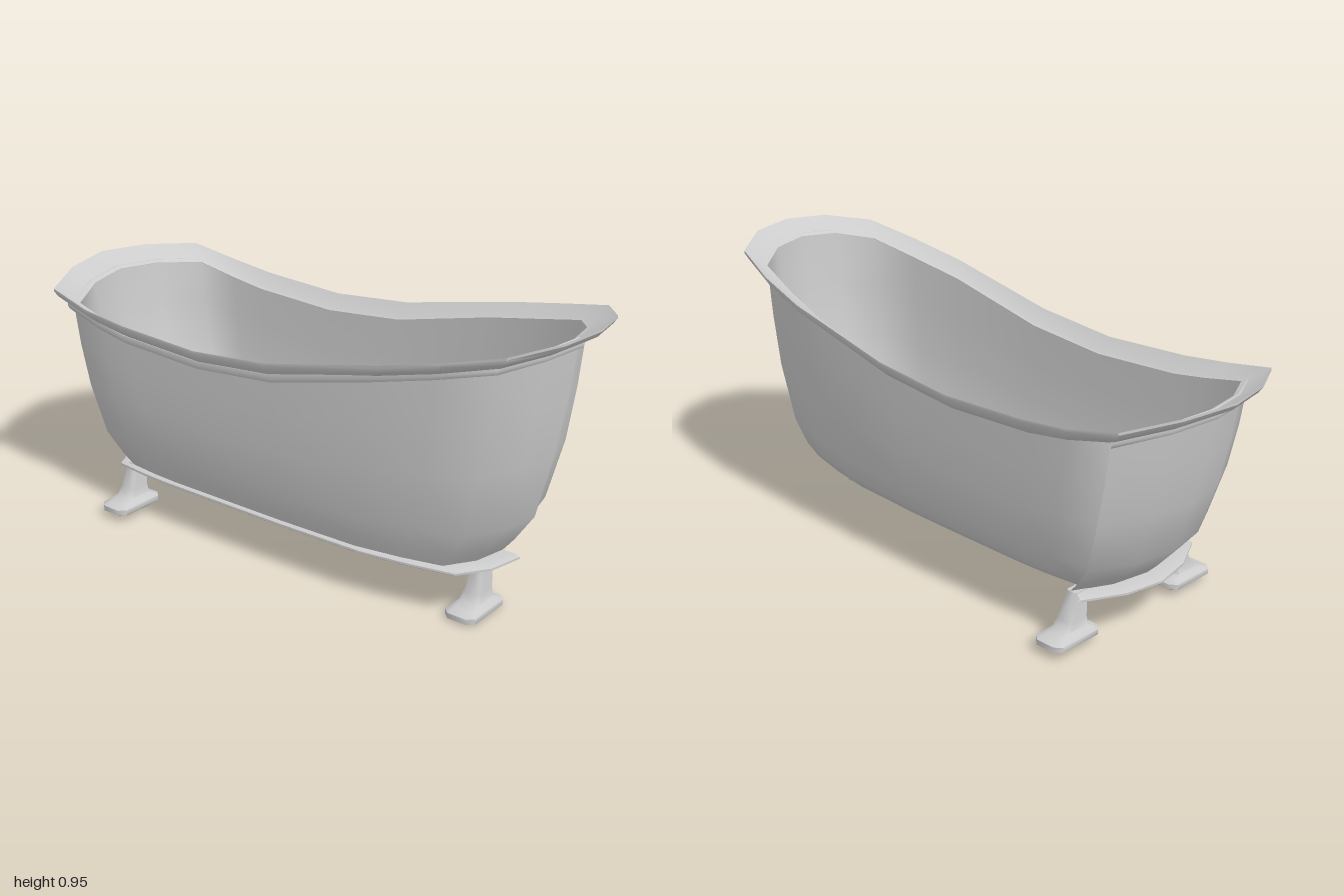
import * as THREE from 'three';
import { toCreasedNormals } from 'three/addons/utils/BufferGeometryUtils.js';

const grey = new THREE.MeshStandardMaterial({ color: 0xcccccc, side: THREE.DoubleSide });

// Half outlines [x, z] from the middle of the front end to the middle of the back end
const LIP = [[0, .99], [.15, .96], [.285, .86], [.335, .68], [.365, .48], [.37, .07],
  [.37, -.22], [.37, -.53], [.37, -.7], [.35, -.87], [.18, -.96], [0, -1]];
const WALL = [[0, .905], [.13, .875], [.24, .795], [.28, .62], [.31, .43], [.32, .07],
  [.32, -.22], [.32, -.53], [.315, -.65], [.3, -.8], [.15, -.88], [0, -.91]];
// Rim height along z
const RIM = [[1, .953], [.7, .878], [.4, .812], [.07, .742], [-.22, .715], [-.53, .73], [-.7, .75], [-1, .81]];
const BASE = .168;

// Full loop: along the -x side to the back, then along the +x side to the front
const fullLoop = half => [
  ...half.map(([x, z]) => [-x, z]),
  ...half.slice(1, -1).reverse(),
];
const lipLoop = fullLoop(LIP);
const wallLoop = fullLoop(WALL);
const PART = 14; // points of the loop covered by the outer casing

function rimHeight(z) {
  for (let i = 1; i < RIM.length; i++) {
    const [z0, y0] = RIM[i - 1], [z1, y1] = RIM[i];
    if (z >= z1) return y0 + (y1 - y0) * (z0 - z) / (z0 - z1);
  }
  return RIM[RIM.length - 1][1];
}

// Skin over a list of rings, each a list of [x, y, z]
function loft(rings, closed, crease = 1) {
  const n = rings[0].length, index = [];
  for (let r = 0; r < rings.length - 1; r++) {
    for (let i = 0; i < (closed ? n : n - 1); i++) {
      const a = r * n + i, b = r * n + (i + 1) % n;
      index.push(a, a + n, b, b, a + n, b + n);
    }
  }
  const g = new THREE.BufferGeometry();
  g.setAttribute('position', new THREE.Float32BufferAttribute(rings.flat(2), 3));
  g.setIndex(index);
  return toCreasedNormals(g, crease);
}

function add(parent, name, geometry, x = 0, y = 0, z = 0) {
  const mesh = new THREE.Mesh(geometry, grey);
  mesh.name = name;
  mesh.position.set(x, y, z);
  parent.add(mesh);
  return mesh;
}

// Ring of the wall at height fraction v, scaled in x and z, dropped by dy
const wallRing = (v, sx, sz, dy = 0) => wallLoop.map(([x, z], i) => {
  const top = rimHeight(lipLoop[i][1]) - .05;
  return [x * sx, BASE + (top - BASE) * v + dy, z * sz];
});

function createLeg(name) {
  // [y, centre x, half width, half depth]
  const sections = [[.02, .27, .001, .001], [.02, .27, .088, .048], [.026, .27, .097, .055],
    [.044, .27, .097, .055], [.054, .267, .076, .043], [.064, .257, .05, .035],
    [.09, .25, .04, .03], [.175, .229, .028, .02], [.175, .229, .001, .001]];
  const corners = [[1, .6], [.8, 1], [-.8, 1], [-1, .6], [-1, -.6], [-.8, -1], [.8, -1], [1, -.6]];
  const rings = sections.map(([y, cx, hx, hz]) => corners.map(([u, w]) => [cx + u * hx, y, w * hz]));
  const leg = new THREE.Group();
  leg.name = name;
  add(leg, 'legAndFoot', loft(rings, true, .9));
  return leg;
}

export function createModel() {
  const tub = new THREE.Group();
  tub.name = 'bathtub';

  // Inner basin, closed by the floor
  const basin = [[1, 1, 1], [.75, .99, .98], [.5, .97, .95], [.22, .915, .89], [.1, .85, .835],
    [.035, .77, .79], [.008, .68, .74], [0, .5, .66], [0, 0, 0]];
  add(tub, 'basin', loft(basin.map(l => wallRing(...l)), true, 1.1));

  // Outer casing round the -x side and the back end
  const casing = [[1, 1, 1], [.75, .99, .975], [.5, .97, .94], [.2, .91, .88], [.07, .85, .81], [0, .81, .765]];
  add(tub, 'outerCasing', loft(
    casing.map(([v, x, z]) => wallRing(v, x * 1.045, z * 1.02).slice(0, PART)), false, 1.1));

  // Flared lip: [0 inner edge to 1 outer edge, drop]
  const lip = [[0, -.048], [.25, -.04], [1, 0], [1, -.008], [.85, -.026], [.4, -.05], [0, -.055], [0, -.048]];
  add(tub, 'lip', loft(lip.map(([t, dy]) => lipLoop.map(([x, z], i) => {
    const [wx, wz] = wallLoop[i];
    return [wx + (x - wx) * t, rimHeight(z) + dy, wz + (z - wz) * t];
  })), true, .6));

  // Moulding below the lip and foot band below the casing
  const moulding = [[1.04, 1.015, .01], [1.09, 1.035, .008], [1.095, 1.037, -.006], [1.08, 1.03, -.018], [1.04, 1.015, -.02]];
  add(tub, 'moulding', loft(
    moulding.map(([x, z, dy]) => wallRing(1, x, z, dy).slice(0, PART)), false, .9));
  const band = [[.78, .74, .004], [.86, .79, .004], [.885, .81, -.002], [.885, .81, -.009], [.86, .795, -.015],
    [.78, .74, -.015], [.78, .74, .004]];
  add(tub, 'baseBand', loft(
    band.map(([x, z, dy]) => wallRing(0, x, z * 1.05, dy).slice(0, PART)), false, .9));

  // Legs: two at the back, one at the front
  const left = createLeg('backLeftLeg');
  left.position.z = -.635;
  const right = createLeg('backRightLeg');
  right.position.z = -.635;
  right.scale.x = -1;
  const front = createLeg('frontLeg');
  front.position.set(.155, -.02, .685);
  front.scale.x = -1;
  tub.add(left, right, front);

  // Plug with its chain lying on the floor
  const plug = new THREE.Group();
  plug.name = 'plugAndChain';
  plug.position.set(.09, BASE, 0);
  add(plug, 'plug', new THREE.CylinderGeometry(.05, .045, .024, 20), 0, .002, 0);
  add(plug, 'drainRing', new THREE.TorusGeometry(.054, .006, 6, 24), 0, .006, 0).rotation.x = Math.PI / 2;
  add(plug, 'shackle', new THREE.TorusGeometry(.02, .004, 6, 10), 0, .012, -.085).rotation.x = Math.PI / 2;
  for (let i = 0; i < 7; i++) {
    const link = add(plug, 'chainLink', new THREE.TorusGeometry(.014, .0035, 5, 8), 0, .014, -.122 - i * .029);
    link.rotation.set(Math.PI / 2, i % 2 ? Math.PI / 2 : 0, 0);
    link.scale.set(.7, 1.25, 1);
  }
  tub.add(plug);

  return tub;
}
